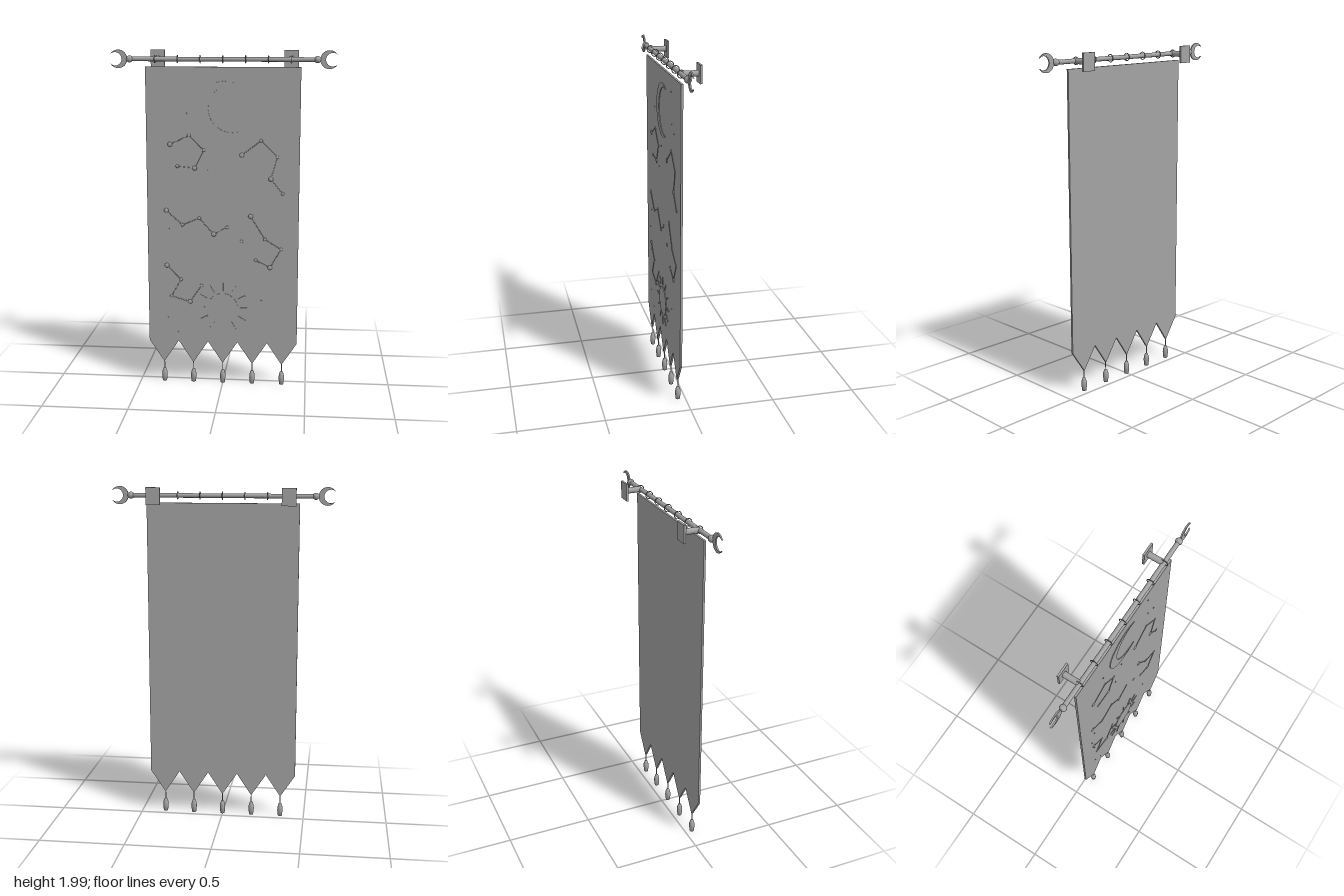
import * as THREE from 'three';

const ROD_Y = 1.947, ROD_Z = 0.037;
const CLOTH_Z = 0.039, CLOTH_T = 0.012, FACE_Z = CLOTH_Z + CLOTH_T;

export function createModel() {
  const root = new THREE.Group();
  const grey = new THREE.MeshStandardMaterial({ color: 0xa3a3a3 });
  grey.name = 'plain grey';

  const add = (name, geo, x = 0, y = 0, z = 0, parent = root) => {
    const m = new THREE.Mesh(geo, grey);
    m.name = name;
    m.position.set(x, y, z);
    parent.add(m);
    return m;
  };
  const group = (name) => {
    const g = new THREE.Group();
    g.name = name;
    root.add(g);
    return g;
  };
  const extrude = (shape, depth) =>
    new THREE.ExtrudeGeometry(shape, { depth, bevelEnabled: false, curveSegments: 24 });

  // Crescent opening towards +x: outer circle R at the origin, inner circle r shifted by d
  const crescent = (R, r, d, depth) => {
    const tx = (R * R - r * r + d * d) / (2 * d);
    const ty = Math.sqrt(R * R - tx * tx);
    const a = Math.atan2(ty, tx), b = Math.atan2(ty, tx - d);
    const s = new THREE.Shape();
    s.absarc(0, 0, R, a, 2 * Math.PI - a, false);
    s.absarc(d, 0, r, 2 * Math.PI - b, b, true);
    return extrude(s, depth);
  };

  // Cloth with a five-pointed lower edge
  const W = 0.445, TEETH = 5, step = (2 * W) / TEETH;
  const outline = new THREE.Shape();
  outline.moveTo(W, 1.905);
  outline.lineTo(-W, 1.905);
  outline.lineTo(-W, 0.265);
  for (let i = 0; i < TEETH; i++) {
    outline.lineTo(-W + (i + 0.5) * step, 0.13);
    outline.lineTo(-W + (i + 1) * step, 0.265);
  }
  add('cloth', extrude(outline, CLOTH_T), 0, 0, CLOTH_Z);

  // Tassels hanging from the points
  const tasselProfile = [[0, 0.005], [0.013, 0.005], [0.017, 0.04], [0.016, 0.06], [0.009, 0.083], [0, 0.087]]
    .map(([x, y]) => new THREE.Vector2(x, y));
  for (let i = 0; i < TEETH; i++) {
    const g = group('tassel');
    g.position.set(-W + (i + 0.5) * step, 0, 0.043);
    add('tasselCord', new THREE.CylinderGeometry(0.003, 0.003, 0.055, 6), 0, 0.11, 0, g);
    add('tasselBody', new THREE.LatheGeometry(tasselProfile, 10), 0, 0, 0, g);
  }

  // Rod and hanging rings
  add('rod', new THREE.CylinderGeometry(0.013, 0.013, 1.07, 16), 0, ROD_Y, ROD_Z).rotation.z = Math.PI / 2;
  for (let i = -3; i <= 3; i++) {
    add('ring', new THREE.TorusGeometry(0.021, 0.0025, 8, 20), i * 0.13, ROD_Y, ROD_Z).rotation.y = Math.PI / 2;
  }

  // Finials and wall brackets, mirrored
  for (const s of [-1, 1]) {
    add('finialBall', new THREE.SphereGeometry(0.02, 16, 12), s * 0.535, ROD_Y, ROD_Z);
    const c = add('finialCrescent', crescent(0.052, 0.038, 0.018, 0.008), s * 0.602, ROD_Y, ROD_Z - s * 0.004);
    if (s < 0) c.rotation.y = Math.PI;
    add('bracketPlate', new THREE.BoxGeometry(0.082, 0.1, 0.012), s * 0.388, 1.947, -0.061);
    add('bracketArm', new THREE.CylinderGeometry(0.017, 0.017, 0.095, 16), s * 0.388, ROD_Y, -0.013)
      .rotation.x = Math.PI / 2;
  }

  // Constellations: [x, y] of each star along its chain
  const chains = [
    [[-0.307, 1.46], [-0.196, 1.513], [-0.111, 1.429], [-0.164, 1.323], [-0.265, 1.333]],
    [[0.111, 1.402], [0.222, 1.487], [0.317, 1.392], [0.28, 1.265], [0.349, 1.18]],
    [[-0.333, 1.069], [-0.238, 0.984], [-0.138, 1.026], [-0.053, 0.931], [0.026, 0.974]],
    [[0.164, 1.042], [0.249, 0.905], [0.344, 0.847], [0.28, 0.735], [0.196, 0.778]],
    [[-0.333, 0.735], [-0.249, 0.651], [-0.307, 0.545], [-0.196, 0.513], [-0.127, 0.614]],
    [[0.111, 0.89]],
  ];
  const big = ['00', '03', '10', '13', '20', '23', '30', '33', '40', '43'];
  chains.forEach((chain, ci) => {
    const g = group('constellation');
    chain.forEach(([x, y], i) => {
      const r = big.includes(`${ci}${i}`) ? 0.014 : 0.01;
      add('star', new THREE.SphereGeometry(r, 12, 8), x, y, FACE_Z, g).scale.z = 0.45;
      if (i === 0) return;
      const [px, py] = chain[i - 1];
      const len = Math.hypot(x - px, y - py);
      add('starLink', new THREE.CylinderGeometry(0.002, 0.002, len, 6), (x + px) / 2, (y + py) / 2, FACE_Z + 0.001, g)
        .rotation.z = Math.atan2(y - py, x - px) - Math.PI / 2;
    });
  });

  // Crescent moon near the top
  add('moon', crescent(0.155, 0.138, 0.045, 0.004), 0.01, 1.67, FACE_Z);

  // Sun with rays near the bottom
  const disc = (r, t, n) => new THREE.CylinderGeometry(r, r, t, n).rotateX(Math.PI / 2);
  const sun = group('sun');
  sun.position.set(0, 0.48, FACE_Z + 0.002);
  add('sunDisc', disc(0.09, 0.004, 32), 0, 0, 0, sun);
  for (let i = 0; i < 12; i++) {
    const a = (i / 12) * Math.PI * 2;
    add('sunRay', new THREE.BoxGeometry(0.05, 0.008, 0.004), Math.cos(a) * 0.13, Math.sin(a) * 0.13, 0, sun)
      .rotation.z = a;
  }

  // Scattered tiny stars
  const specks = [
    [-0.21, 1.64], [0.23, 1.64], [0.29, 1.6], [0.22, 1.82], [-0.03, 1.45], [-0.09, 1.31],
    [-0.32, 0.96], [-0.35, 0.84], [-0.33, 0.69], [-0.33, 0.41], [-0.27, 0.32], [0.23, 0.53],
  ];
  for (const [x, y] of specks) add('tinyStar', disc(0.004, 0.004, 8), x, y, FACE_Z + 0.001);

  return root;
}
